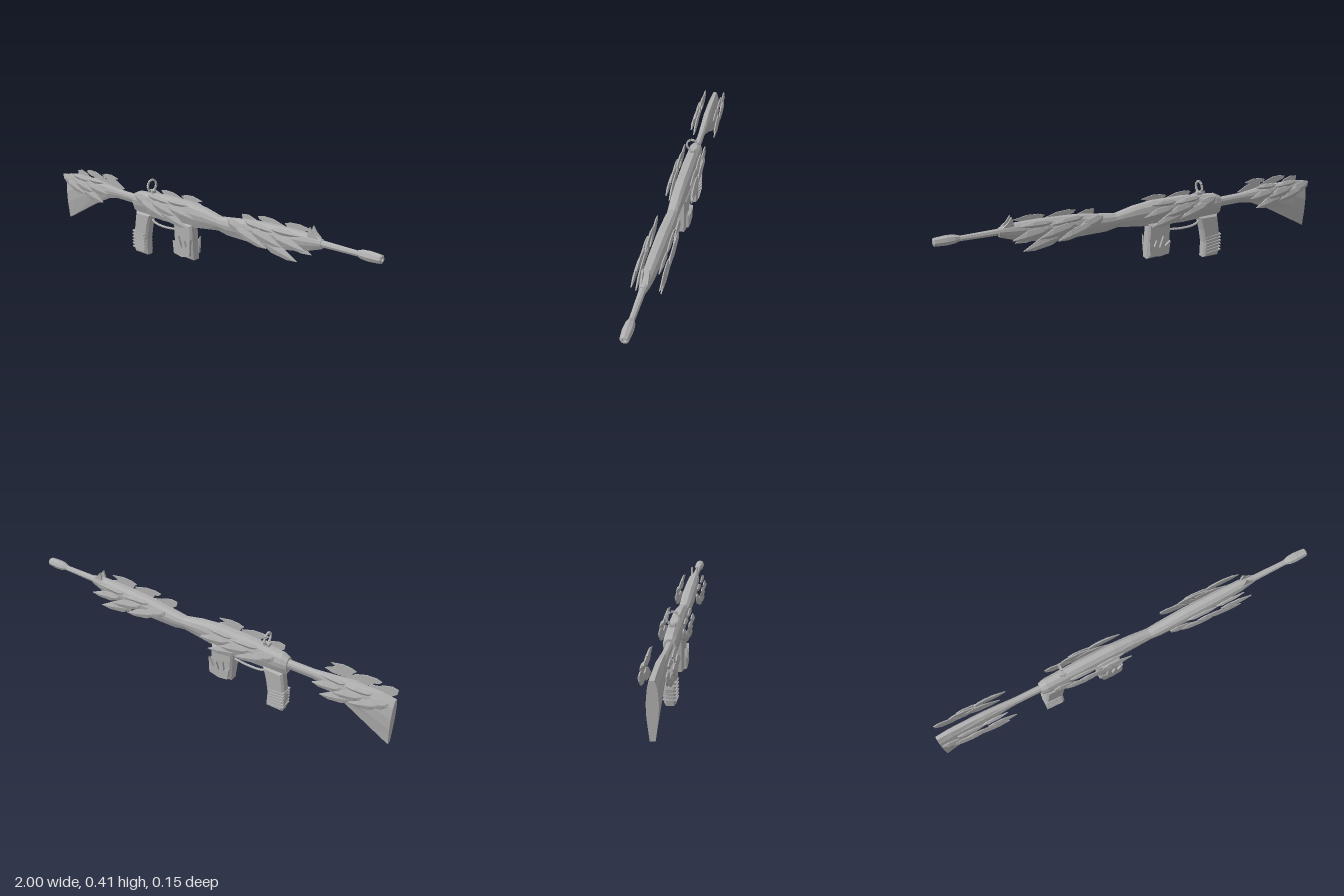
import * as THREE from 'three';
import { ConvexGeometry } from 'three/addons/geometries/ConvexGeometry.js';

const grey = new THREE.MeshStandardMaterial({ color: 0xb0b0b0, flatShading: true });
grey.name = 'stone grey';

function add(parent, name, geometry, x = 0, y = 0, z = 0) {
  const mesh = new THREE.Mesh(geometry, grey);
  mesh.name = name;
  mesh.position.set(x, y, z);
  parent.add(mesh);
  return mesh;
}

// Unit cross-section: [z, height 0..1], widest above the middle, narrow keel
const SECTION = [[0.35, 1], [0.8, 0.86], [1, 0.62], [0.9, 0.38], [0.45, 0],
  [-0.45, 0], [-0.9, 0.38], [-1, 0.62], [-0.8, 0.86], [-0.35, 1]];

// Faceted body through stations [x, bottom, top, half width]
function loft(stations) {
  const n = SECTION.length, pos = [], idx = [];
  stations.forEach(([x, lo, hi, w]) =>
    SECTION.forEach(([z, t]) => pos.push(x, lo + (hi - lo) * t, z * w)));
  for (let s = 0; s < stations.length - 1; s++) {
    for (let i = 0; i < n; i++) {
      const a = s * n + i, b = s * n + (i + 1) % n;
      idx.push(a, b, a + n, b, b + n, a + n);
    }
  }
  const last = (stations.length - 1) * n;
  for (let i = 1; i < n - 1; i++) {
    idx.push(0, i + 1, i, last, last + i, last + i + 1);
  }
  // Wind every face outward
  for (let i = 0; i < idx.length; i += 3) [idx[i + 1], idx[i + 2]] = [idx[i + 2], idx[i + 1]];
  const g = new THREE.BufferGeometry();
  g.setAttribute('position', new THREE.Float32BufferAttribute(pos, 3));
  g.setIndex(idx);
  if (signedVolume(g) < 0) {
    for (let i = 0; i < idx.length; i += 3) [idx[i + 1], idx[i + 2]] = [idx[i + 2], idx[i + 1]];
    g.setIndex(idx);
  }
  g.computeVertexNormals();
  return g;
}

function signedVolume(g) {
  const p = g.attributes.position, ix = g.index.array;
  const v = [new THREE.Vector3(), new THREE.Vector3(), new THREE.Vector3()];
  let sum = 0;
  for (let i = 0; i < ix.length; i += 3) {
    v.forEach((q, k) => q.fromBufferAttribute(p, ix[i + k]));
    sum += v[0].dot(v[1].clone().cross(v[2]));
  }
  return sum;
}

// Pointed leaf plate with a raised midrib on its outer face
function leafGeometry(length, height, side) {
  const L = length, h = height / 2, pts = [];
  [[0, 0.3], [0.2, 0.9], [0.55, 1], [1, 0], [0.75, -0.7], [0.35, -1], [0.08, -0.5]]
    .forEach(([x, y]) => pts.push(new THREE.Vector3(x * L, y * h, 0),
      new THREE.Vector3(x * L, y * h, side * 0.005)));
  pts.push(new THREE.Vector3(0.2 * L, 0, side * 0.012), new THREE.Vector3(0.65 * L, 0, side * 0.012));
  return new ConvexGeometry(pts);
}

// Leaves in a cluster: [x, y, length, height, droop, z]
const LEAVES = [
  [0.00, 0.325, 0.15, 0.055, -0.35, 0.050],
  [0.05, 0.300, 0.17, 0.050, -0.30, 0.056],
  [0.09, 0.340, 0.15, 0.032, -0.08, 0.046],
  [0.13, 0.315, 0.17, 0.050, -0.22, 0.062],
  [0.18, 0.278, 0.19, 0.055, -0.26, 0.054],
  [0.23, 0.339, 0.14, 0.030, 0.02, 0.048],
  [0.25, 0.312, 0.16, 0.048, -0.15, 0.060],
];

function leafCluster(parent, x0, stretch) {
  const cluster = new THREE.Group();
  cluster.name = 'leafCluster';
  parent.add(cluster);
  for (const side of [1, -1]) {
    for (const [x, y, len, h, droop, z] of LEAVES) {
      const leaf = add(cluster, 'leaf', leafGeometry(len * stretch, h, side), x0 + x * stretch, y, side * z);
      leaf.rotation.z = droop;
    }
  }
}

export function createModel() {
  const model = new THREE.Group();
  model.name = 'leafyRifle';

  // Long central bodies
  add(model, 'stock', loft([[-1, 0.07, 0.32, 0.026], [-0.93, 0.11, 0.33, 0.028], [-0.76, 0.205, 0.328, 0.025],
    [-0.66, 0.25, 0.315, 0.02], [-0.6, 0.26, 0.308, 0.017], [-0.45, 0.258, 0.304, 0.017]]));
  add(model, 'receiver', loft([[-0.47, 0.23, 0.315, 0.027], [-0.44, 0.22, 0.33, 0.034], [-0.25, 0.213, 0.345, 0.037],
    [-0.08, 0.22, 0.345, 0.036], [0.02, 0.233, 0.333, 0.033], [0.12, 0.245, 0.31, 0.028]]));
  add(model, 'foreEnd', loft([[0.1, 0.246, 0.309, 0.027], [0.17, 0.233, 0.318, 0.032], [0.32, 0.232, 0.338, 0.035],
    [0.5, 0.242, 0.346, 0.033], [0.62, 0.265, 0.346, 0.028], [0.7, 0.292, 0.335, 0.018]]));

  // Barrel and hollow muzzle turned about the x axis
  const barrel = add(model, 'barrel', new THREE.CylinderGeometry(0.013, 0.017, 0.24, 8), 0.79, 0.316, 0);
  barrel.rotation.z = -Math.PI / 2;
  const profile = [[0.013, 0], [0.022, 0.025], [0.025, 0.06], [0.021, 0.115], [0.016, 0.12], [0.009, 0.12],
    [0.009, 0.085], [0, 0.085]].map(([r, y]) => new THREE.Vector2(r, y));
  const muzzle = add(model, 'muzzle', new THREE.LatheGeometry(profile, 8), 0.88, 0.318, 0);
  muzzle.rotation.z = -Math.PI / 2;

  // Grip with raised ribs
  const gripShape = new THREE.Shape([[-0.462, 0], [-0.372, 0], [-0.375, 0.08], [-0.363, 0.15], [-0.342, 0.225],
    [-0.45, 0.225], [-0.46, 0.16], [-0.472, 0.08]].map(([x, y]) => new THREE.Vector2(x, y)));
  const bevel = { depth: 0.034, bevelEnabled: true, bevelSize: 0.01, bevelOffset: -0.01, bevelThickness: 0.01, bevelSegments: 1 };
  add(model, 'grip', new THREE.ExtrudeGeometry(gripShape, bevel), 0, 0, -0.017);
  for (let i = 0; i < 6; i++) {
    const rib = add(model, 'gripRib', new THREE.BoxGeometry(0.085, 0.007, 0.064), -0.428, 0.026 + i * 0.017, 0);
    rib.rotation.z = -0.12;
  }

  // Magazine with flame-shaped plates on both sides
  const magShape = new THREE.Shape([[-0.172, 0.058], [-0.045, 0.052], [-0.05, 0.14], [-0.056, 0.235],
    [-0.178, 0.235], [-0.174, 0.15]].map(([x, y]) => new THREE.Vector2(x, y)));
  add(model, 'magazine', new THREE.ExtrudeGeometry(magShape, { ...bevel, depth: 0.04 }), 0, 0, -0.02);
  const flame = new THREE.Shape([[-0.16, 0.07], [-0.11, 0.062], [-0.055, 0.075], [-0.05, 0.165], [-0.078, 0.115],
    [-0.092, 0.148], [-0.108, 0.105], [-0.13, 0.165], [-0.138, 0.112], [-0.168, 0.135]]
    .map(([x, y]) => new THREE.Vector2(x, y)));
  for (const z of [0.03, -0.042]) {
    add(model, 'flamePlate', new THREE.ExtrudeGeometry(flame, { depth: 0.012, bevelEnabled: false }), 0, 0, z);
  }

  // Trigger guard and trigger
  const guard = new THREE.CatmullRomCurve3([[-0.365, 0.205], [-0.33, 0.182], [-0.26, 0.174], [-0.165, 0.182]]
    .map(([x, y]) => new THREE.Vector3(x, y, 0)));
  add(model, 'triggerGuard', new THREE.TubeGeometry(guard, 12, 0.006, 6));

  // Rear sight: a ring of separate beads on a short foot
  for (let i = 0; i < 10; i++) {
    const a = (i + 0.5) / 10 * Math.PI * 2;
    const bead = add(model, 'sightBead', new THREE.BoxGeometry(0.009, 0.009, 0.016),
      -0.35, 0.377 + 0.029 * Math.sin(a), 0.029 * Math.cos(a));
    bead.rotation.x = Math.PI / 2 - a;
  }
  add(model, 'rearSightFoot', new THREE.BoxGeometry(0.03, 0.014, 0.024), -0.35, 0.345, 0);

  // Front sight: twin prongs
  const prong = new THREE.Shape([[0.628, 0.335], [0.685, 0.335], [0.66, 0.355], [0.64, 0.382]]
    .map(([x, y]) => new THREE.Vector2(x, y)));
  for (const z of [0.01, -0.018]) {
    add(model, 'frontSightProng', new THREE.ExtrudeGeometry(prong, { depth: 0.008, bevelEnabled: false }), 0, 0, z);
  }

  // Leaf clusters on stock, receiver and fore-end
  leafCluster(model, -0.99, 0.9);
  leafCluster(model, -0.42, 1);
  leafCluster(model, 0.2, 1.12);
  return model;
}
